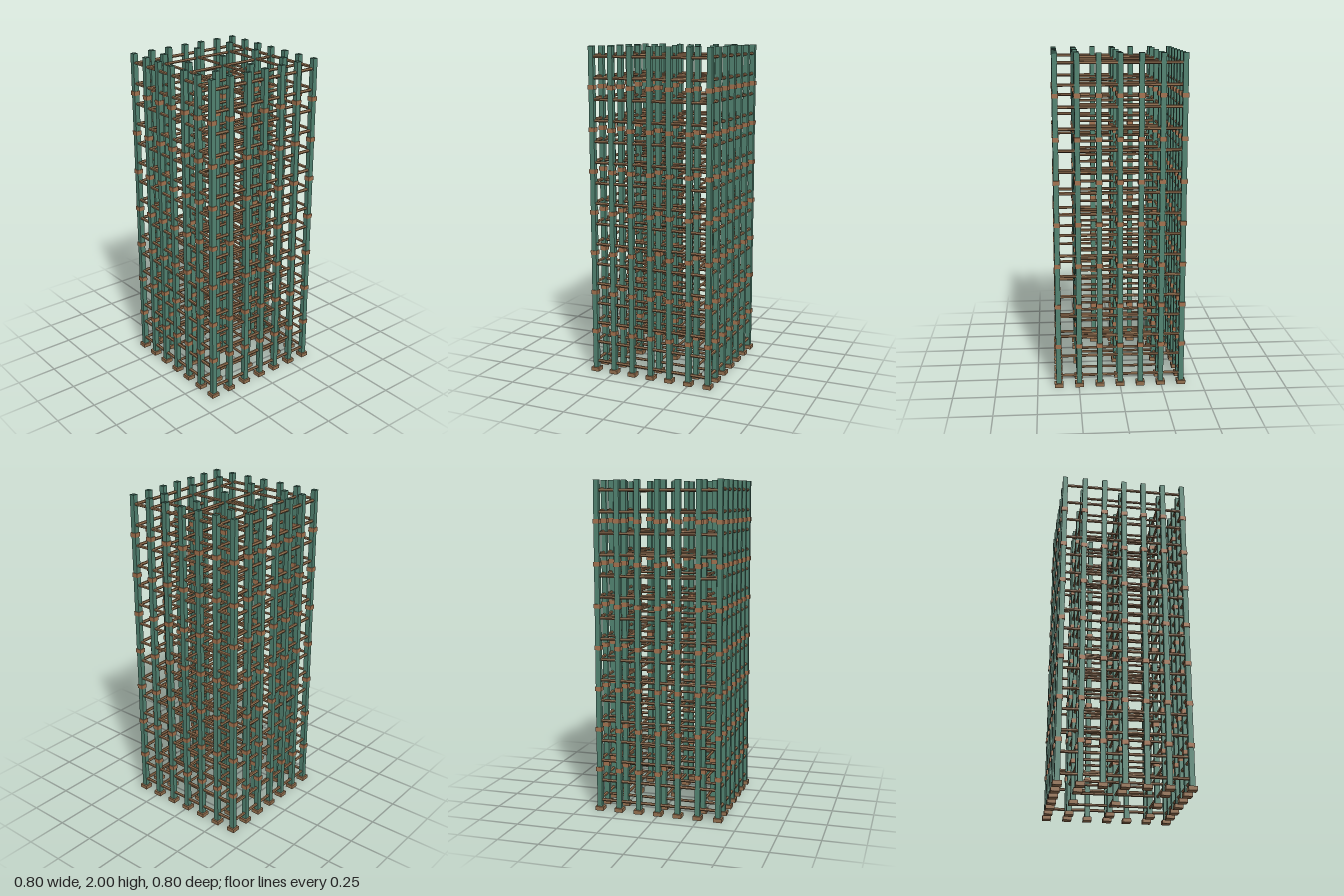
import * as THREE from 'three';

export function createModel() {
  const model = new THREE.Group();
  model.name = 'latticeTower';
  const mat = (name, color) => new THREE.MeshStandardMaterial({ name, color });
  const green = mat('weathered green', 0x528472);
  const brown = mat('wood brown', 0x94704f);
  const copper = mat('copper brown', 0xa3724f);

  const OUT = 0.372, IN = 0.247, MID = 0.123;
  const add = (parent, name, geo, material, x, y, z) => {
    const m = new THREE.Mesh(geo, material);
    m.name = name;
    m.position.set(x, y, z);
    parent.add(m);
    return m;
  };

  // Hollow square post, open at the top
  const square = (s, Type) => {
    const h = s / 2;
    return new Type([[-h, -h], [h, -h], [h, h], [-h, h]].map(([x, y]) => new THREE.Vector2(x, y)));
  };
  const section = square(0.031, THREE.Shape);
  section.holes.push(square(0.025, THREE.Path));
  const postGeo = new THREE.ExtrudeGeometry(section, { depth: 1.98, bevelEnabled: false });
  postGeo.rotateX(-Math.PI / 2);
  const footGeo = new THREE.BoxGeometry(0.052, 0.024, 0.052);
  const collarGeo = new THREE.BoxGeometry(0.039, 0.026, 0.039);

  // Outer ring of 24 posts and inner grid of nine
  const lines = [-OUT, -IN, -MID, 0, MID, IN, OUT];
  for (const x of lines) for (const z of lines) {
    const outer = Math.abs(x) === OUT || Math.abs(z) === OUT;
    const inner = Math.abs(x) !== MID && Math.abs(z) !== MID;
    if (!outer && !inner) continue;
    const column = new THREE.Group();
    column.name = outer ? 'outerColumn' : 'innerColumn';
    column.position.set(x, 0, z);
    model.add(column);
    add(column, 'foot', footGeo, brown, 0, 0.012, 0);
    add(column, 'post', postGeo, green, 0, 0.02, 0);
    for (let i = 1; i <= 7; i++) add(column, 'collar', collarGeo, copper, 0, 0.01 + i * 0.25, 0);
  }

  // Six-sided rails along x and z
  const rail = (radius, length, alongX) => {
    const g = new THREE.CylinderGeometry(radius, radius, length, 6).toNonIndexed();
    if (alongX) g.rotateZ(Math.PI / 2);
    else g.rotateX(Math.PI / 2);
    g.computeVertexNormals();
    return g;
  };
  const longX = rail(0.0095, OUT * 2, true);
  const longZ = rail(0.0095, OUT * 2, false);
  const innerX = rail(0.0085, OUT * 2, true);
  const innerZ = rail(0.0085, IN * 2, false);

  // Sixteen levels of rails
  for (let i = 0; i < 16; i++) {
    const level = new THREE.Group();
    level.name = 'railLevel';
    level.position.y = 0.064 + i * 0.125;
    model.add(level);
    for (const s of [-1, 1]) {
      add(level, 'outerCrossRail', longX, brown, 0, 0, s * OUT);
      add(level, 'outerSideRail', longZ, brown, s * OUT, 0.006, 0);
    }
    for (const p of [-IN, 0, IN]) {
      add(level, 'innerCrossRail', innerX, brown, 0, 0, p);
      add(level, 'innerSideRail', innerZ, brown, p, 0.006, 0);
    }
  }
  return model;
}
